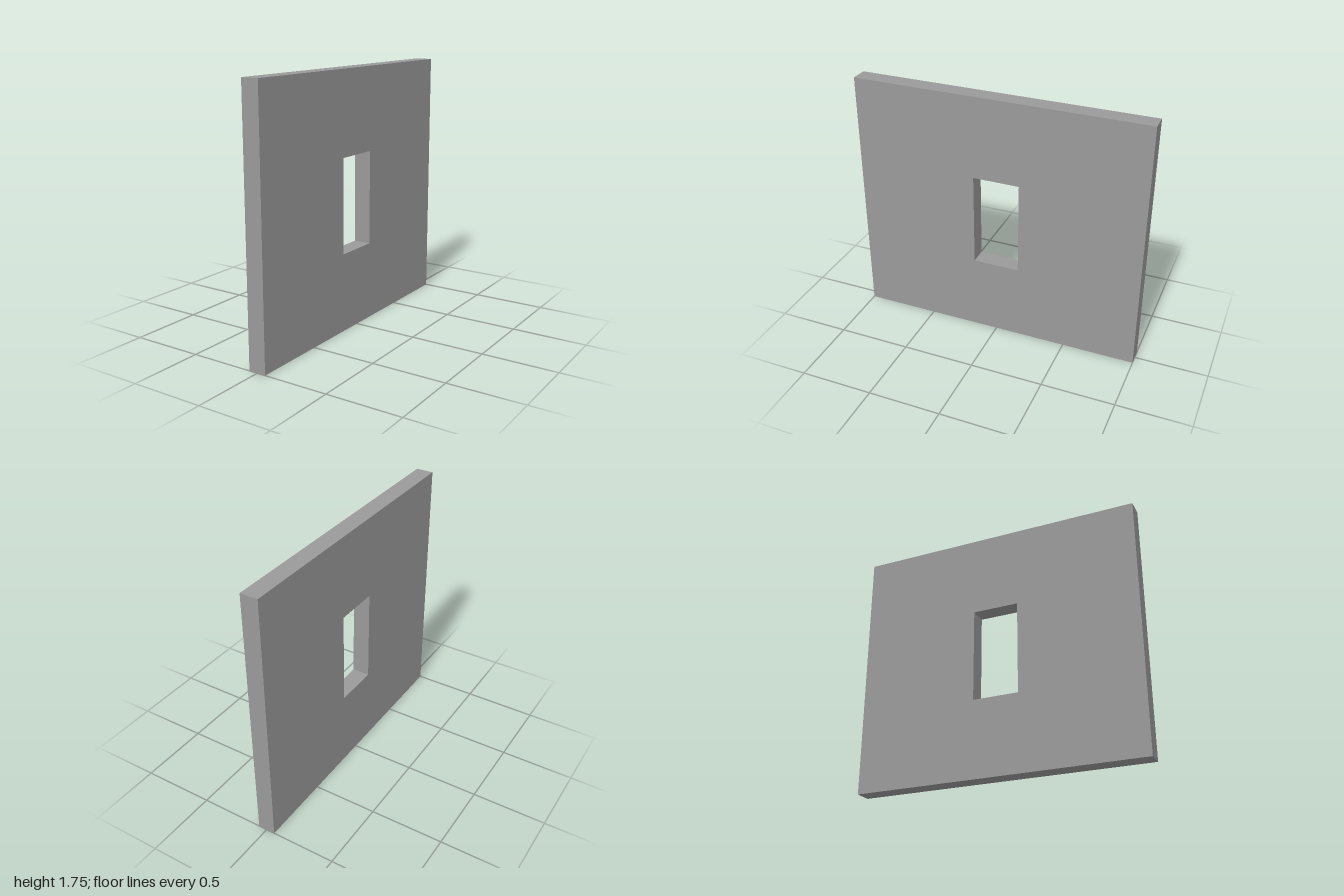
import * as THREE from 'three';

const THICKNESS = 0.12;

// Closed rectangular outline from two opposite corners
function rectangle(target, x0, y0, x1, y1) {
  target.moveTo(x0, y0);
  target.lineTo(x1, y0);
  target.lineTo(x1, y1);
  target.lineTo(x0, y1);
  target.closePath();
  return target;
}

export function createModel() {
  const group = new THREE.Group();
  group.name = 'wallWithWindow';

  // Wall outline, drawn with shape x along the wall's length
  const outline = rectangle(new THREE.Shape(), -1, 0, 1, 1.752);

  // Window opening through the wall
  outline.holes.push(rectangle(new THREE.Path(), -0.157, 0.538, 0.162, 1.183));

  const geometry = new THREE.ExtrudeGeometry(outline, { depth: THICKNESS, bevelEnabled: false });
  geometry.translate(0, 0, -THICKNESS / 2);
  geometry.rotateY(-Math.PI / 2); // length runs along z

  const wall = new THREE.Mesh(geometry, new THREE.MeshStandardMaterial({ color: 0x9a9a9a }));
  wall.name = 'wall';
  group.add(wall);
  return group;
}
